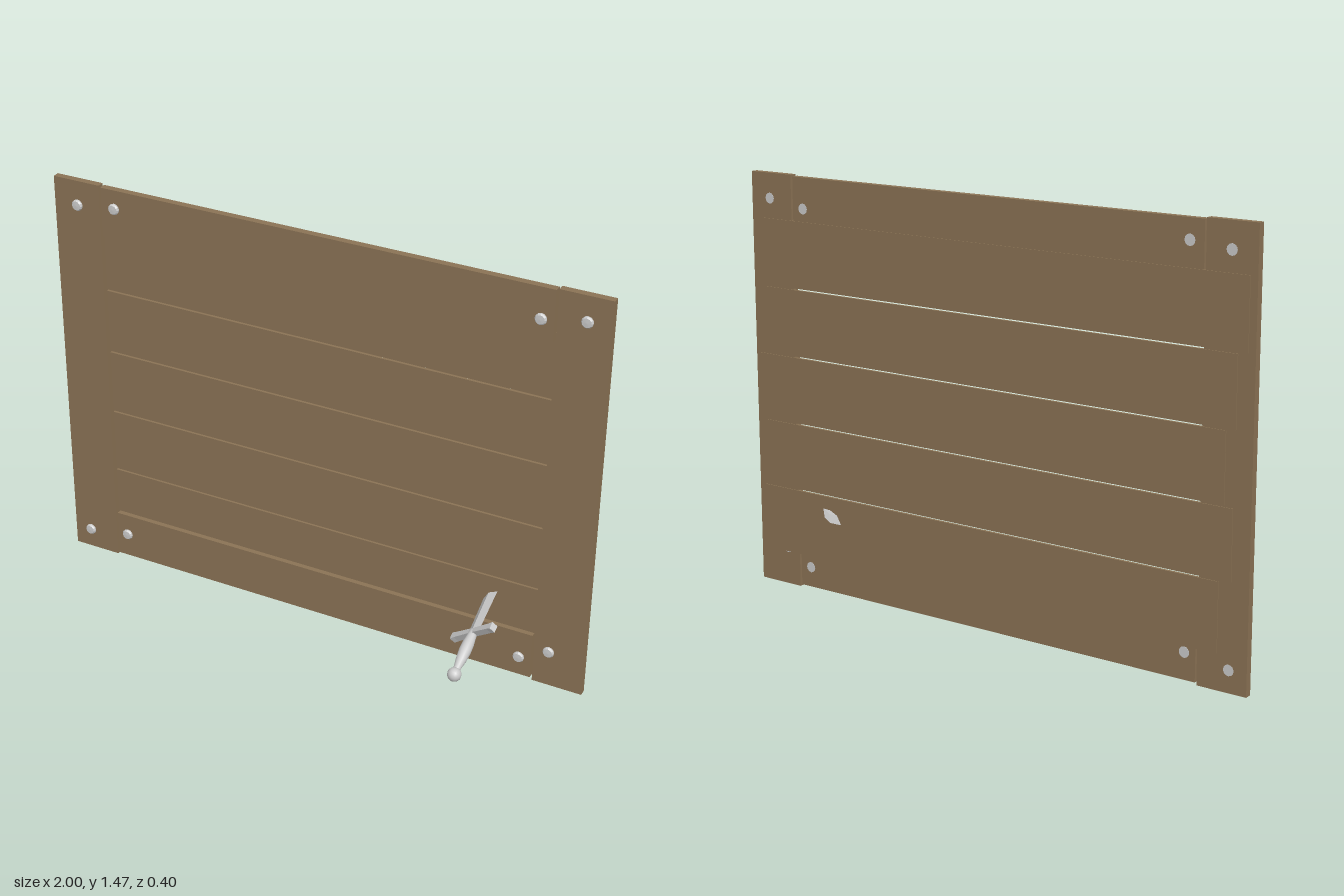
import * as THREE from 'three';

const wood = new THREE.MeshStandardMaterial({ color: 0x8b7355 });
const metal = new THREE.MeshStandardMaterial({ color: 0xcccccc });
const metalFlat = new THREE.MeshStandardMaterial({ color: 0xcccccc, flatShading: true });

function add(parent, name, geometry, material) {
  const mesh = new THREE.Mesh(geometry, material);
  mesh.name = name;
  parent.add(mesh);
  return mesh;
}

// board given by its limits on each axis
function board(parent, name, x0, x1, y0, y1, z0, z1) {
  const mesh = add(parent, name, new THREE.BoxGeometry(x1 - x0, y1 - y0, z1 - z0), wood);
  mesh.position.set((x0 + x1) / 2, (y0 + y1) / 2, (z0 + z1) / 2);
}

function makeDagger() {
  // local y runs from pommel to blade end, local x along the guard
  const dagger = new THREE.Group();
  dagger.name = 'dagger';

  add(dagger, 'pommel', new THREE.SphereGeometry(0.024, 16, 12), metal);

  const gripProfile = [[0, 0], [0.012, 0.005], [0.013, 0.03], [0.018, 0.06], [0.021, 0.095],
    [0.02, 0.125], [0.016, 0.155], [0.015, 0.175], [0, 0.175]];
  add(dagger, 'grip', new THREE.LatheGeometry(gripProfile.map(p => new THREE.Vector2(...p)), 16), metal);

  // cross guard, thicker at both ends
  const s = new THREE.Shape();
  [[-0.105, -0.013], [-0.085, -0.011], [0, -0.009], [0.085, -0.011], [0.105, -0.013],
    [0.105, 0.013], [0.085, 0.011], [0, 0.009], [-0.085, 0.011], [-0.105, 0.013]]
    .forEach(([x, y], i) => (i ? s.lineTo(x, y) : s.moveTo(x, y)));
  const guard = new THREE.ExtrudeGeometry(s, { depth: 0.024, bevelEnabled: false });
  guard.translate(0, 0.171, -0.012);
  add(dagger, 'guard', guard, metalFlat);

  // diamond-section blade with a slanted broken end
  const blade = new THREE.CylinderGeometry(0.034, 0.028, 0.215, 4);
  blade.scale(1, 1, 0.32);
  blade.translate(0, 0.2825, 0);
  const p = blade.attributes.position;
  for (let i = 0; i < p.count; i++) {
    if (p.getY(i) > 0.35) p.setY(i, p.getY(i) - p.getX(i) * 0.15);
  }
  add(dagger, 'blade', blade, metalFlat);

  const along = new THREE.Vector3(-0.026, 0.385, -0.923).normalize();
  const across = new THREE.Vector3(0.16, 0.125, 0.055);
  across.addScaledVector(along, -across.dot(along)).normalize();
  const normal = new THREE.Vector3().crossVectors(across, along);
  dagger.quaternion.setFromRotationMatrix(new THREE.Matrix4().makeBasis(across, along, normal));
  dagger.position.set(0.657, 0.155, 0.17);
  return dagger;
}

export function createModel() {
  const model = new THREE.Group();
  model.name = 'noticeBoard';
  const front = -0.114, back = -0.139;

  // frame
  board(model, 'rightPost', -1, -0.822, 0, 1.473, back, front);
  board(model, 'leftPost', 0.822, 1, 0, 1.473, back, front);
  board(model, 'topRail', -0.816, 0.814, 1.29, 1.468, back, front);
  board(model, 'bottomRail', -0.816, 0.814, 0.008, 0.18, back, front);

  // planks behind the frame, with uneven ends
  const ends = [[-0.893, 0.975], [-0.937, 0.956], [-0.906, 0.987], [-0.94, 0.943], [-0.975, 0.956]];
  ends.forEach(([x0, x1], i) => {
    const y = 0.118 + i * 0.24;
    board(model, 'plank' + (i + 1), x0, x1, y + 0.003, y + 0.237, -0.142, -0.132);
  });

  // bolts through the frame corners
  const bolts = [[-0.91, 1.385], [-0.765, 1.4], [0.77, 1.36], [0.92, 1.385],
    [-0.935, 0.075], [-0.775, 0.1], [0.77, 0.08], [0.875, 0.135]];
  const profile = [[0, 0], [0.019, 0], [0.02, 0.031], [0.016, 0.036], [0, 0.037]];
  const boltGeometry = new THREE.LatheGeometry(profile.map(q => new THREE.Vector2(...q)), 12);
  boltGeometry.rotateX(Math.PI / 2);
  for (const [x, y] of bolts) {
    add(model, 'bolt', boltGeometry, metalFlat).position.set(x, y, back - 0.0005);
  }

  model.add(makeDagger());
  return model;
}
